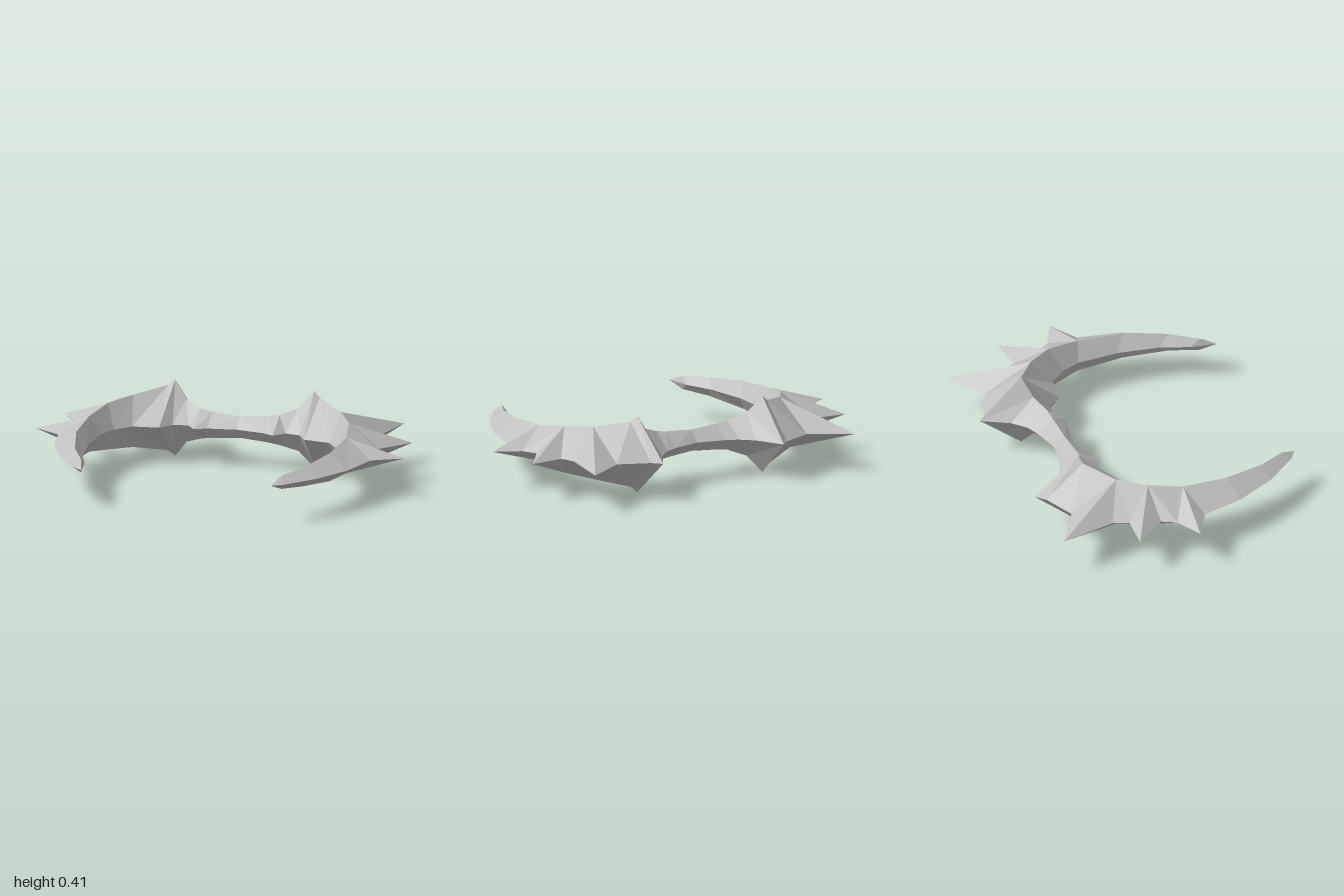
import * as THREE from 'three';

const MID = 0.205; // height of the mirror plane between upper and lower halves

// Points on the ridge shared by several stations: [x, z, height above MID]
const RIDGE_BACK = [0.565, -0.32, 0.14];
const RIDGE_SIDE = [0.655, -0.18, 0.125];
const RIDGE_FRONT = [0.7, 0, 0.095];
const IN_BACK = [0.535, -0.21];
const IN_SIDE = [0.605, -0.12];
const IN_FRONT = [0.64, -0.02];

// Diamond cross-sections along one half: [outer xz, ridge xzh, inner xz]
const PARTS = {
  centreBand: [
    [[0, -0.425], [0, -0.37], [0, -0.315]],
    [[0.15, -0.46], [0.15, -0.373], [0.155, -0.29]],
    [[0.215, -0.487], [0.213, -0.376], [0.215, -0.257]],
    [[0.285, -0.55], [0.305, -0.415], [0.265, -0.32]],
  ],
  crest: [
    [[0.285, -0.55], [0.305, -0.415], [0.265, -0.32]],
    [[0.365, -0.69], [0.378, -0.453], [0.345, -0.305]],
    [[0.41, -0.645], [0.412, -0.44], [0.395, -0.23]],
    [[0.575, -0.575], RIDGE_BACK, IN_BACK],
  ],
  spikes: [
    [[0.575, -0.575], RIDGE_BACK, IN_BACK],
    [[0.785, -0.705], RIDGE_BACK, IN_BACK],
    [[0.735, -0.41], RIDGE_BACK, IN_BACK],
    [[0.765, -0.33], RIDGE_SIDE, IN_SIDE],
    [[0.945, -0.345], RIDGE_SIDE, IN_SIDE],
    [[0.82, -0.175], RIDGE_SIDE, IN_SIDE],
    [[0.86, -0.1], RIDGE_FRONT, IN_FRONT],
    [[1, -0.03], RIDGE_FRONT, IN_FRONT],
    [[0.85, 0.06], RIDGE_FRONT, IN_FRONT],
  ],
  curvedHorn: [
    [[0.85, 0.06], RIDGE_FRONT, IN_FRONT],
    [[0.8, 0.285], [0.69, 0.25, 0.075], [0.64, 0.2]],
    [[0.7, 0.495], [0.622, 0.48, 0.05], [0.6, 0.42]],
    [[0.575, 0.66], [0.545, 0.62, 0.035], [0.54, 0.57]],
    [[0.515, 0.705], [0.515, 0.705, 0], [0.515, 0.705]],
  ],
};
// Ridge heights of the band and crest stations
const HEIGHTS = { centreBand: [0.057, 0.07, 0.08, 0.115], crest: [0.115, 0.205, 0.175, 0.14] };

// Loft flat-shaded diamonds through the stations; side = 1 or -1 mirrors in x
function loft(name, side) {
  const rings = PARTS[name].map(([o, r, n], i) => {
    const h = r[2] ?? HEIGHTS[name][i];
    return [
      new THREE.Vector3(side * o[0], MID, o[1]),
      new THREE.Vector3(side * r[0], MID + h, r[1]),
      new THREE.Vector3(side * n[0], MID, n[1]),
      new THREE.Vector3(side * r[0], MID - h, r[1]),
    ];
  });
  const points = [];
  const tri = (a, b, c) => {
    const area = b.clone().sub(a).cross(c.clone().sub(a)).length();
    if (area < 1e-7) return; // skip collapsed faces
    points.push(...(side > 0 ? [a, b, c] : [a, c, b]));
  };
  for (let i = 0; i < rings.length - 1; i++) {
    for (let k = 0; k < 4; k++) {
      const j = (k + 1) % 4;
      const a = rings[i][k], b = rings[i][j], c = rings[i + 1][k], d = rings[i + 1][j];
      // diagonals run the same way above and below the mirror plane
      if (k % 2 === 0) { tri(a, b, c); tri(b, d, c); }
      else { tri(a, b, d); tri(a, d, c); }
    }
  }
  const geometry = new THREE.BufferGeometry().setFromPoints(points);
  geometry.computeVertexNormals();
  return geometry;
}

export function createModel() {
  const group = new THREE.Group();
  group.name = 'spikedCirclet';
  const metal = new THREE.MeshStandardMaterial({ color: 0xc0c0c0, flatShading: true });
  metal.name = 'paleGrey';

  for (const [sideName, side] of [['left', 1], ['right', -1]]) {
    const half = new THREE.Group();
    half.name = sideName + 'Half';
    for (const name of Object.keys(PARTS)) {
      const mesh = new THREE.Mesh(loft(name, side), metal);
      mesh.name = name;
      half.add(mesh);
    }
    group.add(half);
  }
  return group;
}
